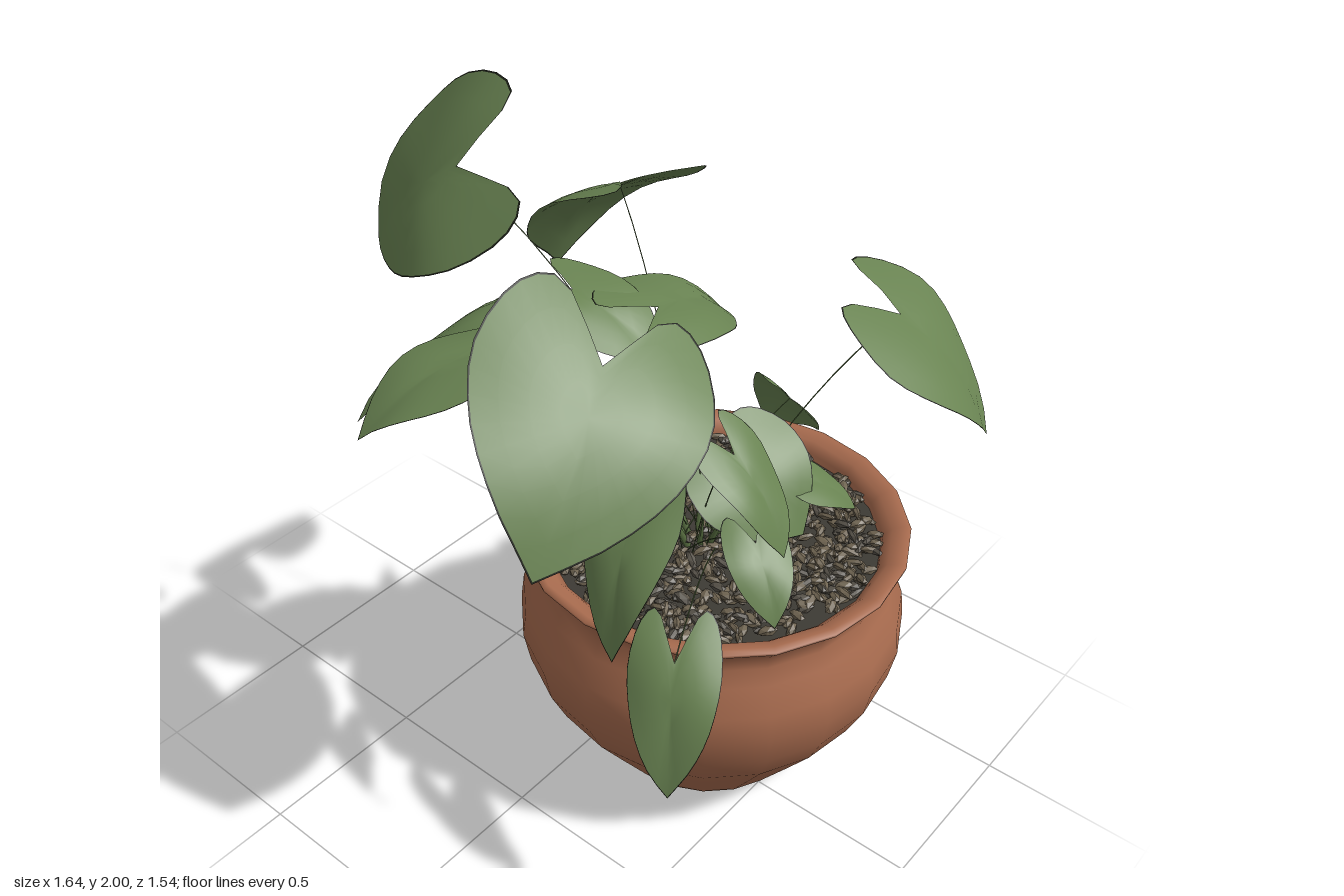
import * as THREE from 'three';
import { mergeGeometries } from 'three/addons/utils/BufferGeometryUtils.js';

const V = (x, y, z) => new THREE.Vector3(x, y, z);
const UP = V(0, 1, 0);
const PX = 0.105, PZ = 0.22; // pot axis
const CROWN = V(0.06, 0.74, 0.2); // where the stems leave the soil

function material(name, color, extra = {}) {
  const m = new THREE.MeshStandardMaterial({ color, ...extra });
  m.name = name;
  return m;
}

function seeded(seed) {
  return () => (seed = (seed * 16807) % 2147483647) / 2147483647;
}

// Half outline of a heart-shaped leaf: x across, y from notch (0) to tip (1)
const halfOutline = new THREE.CatmullRomCurve3([
  V(0, 0, 0), V(0.5, -0.34, 0), V(0.83, -0.23, 0), V(1, 0.08, 0),
  V(0.88, 0.4, 0), V(0.55, 0.7, 0), V(0, 1, 0),
]).getPoints(16);
const outline = [
  ...halfOutline,
  ...halfOutline.slice(1, -1).reverse().map((p) => V(-p.x, p.y, 0)),
];
const RINGS = [0.25, 0.5, 0.75, 0.985, 1]; // the last band is the dark rim

// Leaf blade: rings of the outline, bent along and across the midrib.
// The blade lies level across its width, then rolls about the midrib.
function leafGeometry({ notch, tip, width, roll }, phase) {
  const axis = tip.clone().sub(notch);
  const size = axis.length(), n = outline.length;
  const side = UP.clone().cross(axis).setLength(width)
    .applyAxisAngle(axis.clone().normalize(), roll);
  const normal = side.clone().cross(axis).normalize();
  const flip = normal.y < 0;
  if (flip) normal.negate();
  const pos = [], idx = [];
  const put = (v, u) => {
    const bulge = 0.36 * u * (1 - u) - 0.1 * v * v + 0.06 * Math.abs(v)
      + 0.04 * v * Math.sin(5 * u + phase);
    const p = notch.clone().addScaledVector(side, v).addScaledVector(axis, u)
      .addScaledVector(normal, size * bulge);
    pos.push(p.x, p.y, p.z);
  };
  put(0, 0.25);
  for (const k of RINGS) {
    for (const o of outline) put(o.x * k, 0.25 + (o.y - 0.25) * k);
  }
  const tri = (a, b, c) => (flip ? idx.push(a, c, b) : idx.push(a, b, c));
  for (let i = 0; i < n; i++) tri(0, 1 + i, 1 + (i + 1) % n);
  for (let r = 0; r < RINGS.length - 1; r++) {
    for (let i = 0; i < n; i++) {
      const a = 1 + r * n + i, b = 1 + r * n + (i + 1) % n;
      tri(a, a + n, b + n);
      tri(a, b + n, b);
    }
  }
  const g = new THREE.BufferGeometry();
  g.setAttribute('position', new THREE.Float32BufferAttribute(pos, 3));
  g.setIndex(idx);
  g.computeVertexNormals();
  const rim = n * 6;
  g.addGroup(0, idx.length - rim, 0);
  g.addGroup(idx.length - rim, rim, 1);
  return g;
}

// Grown leaves: notch x y z, tip x y z, half width, roll
const grownLeaves = [
  [-0.2, 1.8, -0.4, -0.18, 1.47, -0.76, 0.27, -0.98],
  [0.1, 1.73, -0.12, 0.18, 1.36, -0.42, 0.225, 0],
  [-0.18, 1.42, -0.26, -0.13, 1.02, -0.64, 0.15, -0.25],
  [-0.28, 1.49, -0.16, -0.64, 1.27, -0.36, 0.2, 0.3],
  [-0.44, 1.61, 0.29, -0.8, 1.26, 0.39, 0.29, -0.6],
  [-0.52, 1.57, -0.01, -0.82, 1.42, -0.13, 0.16, 0.11],
  [-0.12, 1.58, 0.19, 0.2, 1.41, 0.16, 0.16, 0.26],
  [-0.24, 1.62, 0.02, -0.2, 1.46, 0.28, 0.13, 0.1],
  [0.56, 1.36, 0.48, 0.68, 1.01, 0.73, 0.255, 0],
  [-0.14, 1.27, 0.45, -0.13, 1.02, 0.61, 0.11, 0],
  [-0.4, 1.2, 0.35, -0.57, 0.87, 0.42, 0.125, 0.36],
  [-0.45, 0.84, 0.52, -0.57, 0.51, 0.6, 0.12, 0.1],
  [0.64, 0.88, 0.1, 0.73, 0.67, -0.05, 0.13, 0.91],
  [-0.03, 1.3, 0.08, -0.19, 1.27, 0.19, 0.095, 0],
].map(([a, b, c, d, e, f, width, roll]) => ({ notch: V(a, b, c), tip: V(d, e, f), width, roll }));

// Young leaves lean out from the crown, tips near the soil:
// heading, reach, height, half width, roll
const youngLeaves = [
  [1.13, 0.11, 1.03, 0.19, 0.6], [-1.46, 0.32, 1.1, 0.14, -0.7],
  [0.78, 0.31, 0.93, 0.09, 0.1], [2.07, 0.35, 1, 0.09, 0.1],
].map(([heading, reach, height, width, roll]) => {
  const out = V(Math.cos(heading), 0, Math.sin(heading));
  const notch = CROWN.clone().addScaledVector(out, reach).setY(height);
  return { notch, tip: notch.clone().addScaledVector(out, 0.09 + width / 2).setY(0.82), width, roll };
});

export function createModel() {
  const model = new THREE.Group();
  const terracotta = material('terracotta', 0xa96c4f);
  const leafGreen = material('leaf green', 0x698352, { side: THREE.DoubleSide });
  const rimDark = material('leaf rim dark', 0x1c2016, { side: THREE.DoubleSide });
  const stemGreen = material('stem green', 0x566c3f);
  const soilDark = material('dark soil', 0x3d3a34);
  const gravelBrown = material('gravel brown', 0x6e6350, { flatShading: true });
  const gravelGrey = material('gravel grey', 0x555047, { flatShading: true });
  const add = (name, geometry, mat, parent = model) => {
    const mesh = new THREE.Mesh(geometry, mat);
    mesh.name = name;
    parent.add(mesh);
    return mesh;
  };

  // Pot: underside, belly, neck, flared rim and inner wall in one turn
  const profile = [
    [0, 0.015], [0.28, 0.015], [0.3, 0], [0.31, 0.015], [0.405, 0.15], [0.495, 0.28],
    [0.541, 0.38], [0.56, 0.48], [0.55, 0.56], [0.517, 0.64], [0.498, 0.69],
    [0.502, 0.73], [0.525, 0.76], [0.55, 0.785], [0.552, 0.795], [0.535, 0.802],
    [0.5, 0.79], [0.475, 0.765], [0.465, 0.7],
  ].map(([x, y]) => new THREE.Vector2(x, y));
  add('pot', new THREE.LatheGeometry(profile, 20), terracotta).position.set(PX, 0, PZ);

  // Soil disc with scattered chips
  add('soil', new THREE.CylinderGeometry(0.475, 0.475, 0.02, 24), soilDark).position.set(PX, 0.735, PZ);
  const rnd = seeded(71);
  const chips = [[], []];
  for (let i = 0; i < 950; i++) {
    const r = 0.455 * Math.sqrt(rnd()), a = rnd() * Math.PI * 2;
    const g = new THREE.IcosahedronGeometry(1);
    g.scale(0.022 + rnd() * 0.012, 0.012, 0.01 + rnd() * 0.006);
    g.rotateZ((rnd() - 0.5) * 0.7);
    g.rotateY(rnd() * Math.PI * 2);
    g.translate(PX + r * Math.cos(a), 0.75 + rnd() * 0.025, PZ + r * Math.sin(a));
    chips[i % 3 === 0 ? 1 : 0].push(g);
  }
  add('brownGravel', mergeGeometries(chips[0]), gravelBrown);
  add('greyGravel', mergeGeometries(chips[1]), gravelGrey);

  // Leaves, each on a hair-thin arching stem
  const foliage = new THREE.Group();
  foliage.name = 'foliage';
  model.add(foliage);
  [...grownLeaves, ...youngLeaves].forEach((leaf, i) => {
    add('leaf', leafGeometry(leaf, i * 1.7), [leafGreen, rimDark], foliage);
    const root = V(Math.cos(i * 2.4), 0, Math.sin(i * 2.4)).multiplyScalar(0.06).add(CROWN);
    const bend = root.clone().lerp(leaf.notch, 0.45);
    bend.y = Math.max(root.y + (leaf.notch.y - root.y) * 0.7, 0.9);
    const path = new THREE.QuadraticBezierCurve3(root, bend, leaf.notch);
    add('stem', new THREE.TubeGeometry(path, 10, 0.0018, 4), stemGreen, foliage);
  });

  // Short pointed shoots around the crown
  for (let i = 0; i < 9; i++) {
    const a = i * 2.4, h = 0.2 + 0.15 * rnd();
    const out = V(Math.cos(a), 0, Math.sin(a));
    const dir = UP.clone().addScaledVector(out, 0.45).normalize();
    const shoot = add('shoot', new THREE.ConeGeometry(0.012, h, 5), stemGreen, foliage);
    shoot.quaternion.setFromUnitVectors(UP, dir);
    shoot.position.copy(CROWN).addScaledVector(out, 0.04).addScaledVector(dir, h / 2);
  }
  return model;
}
